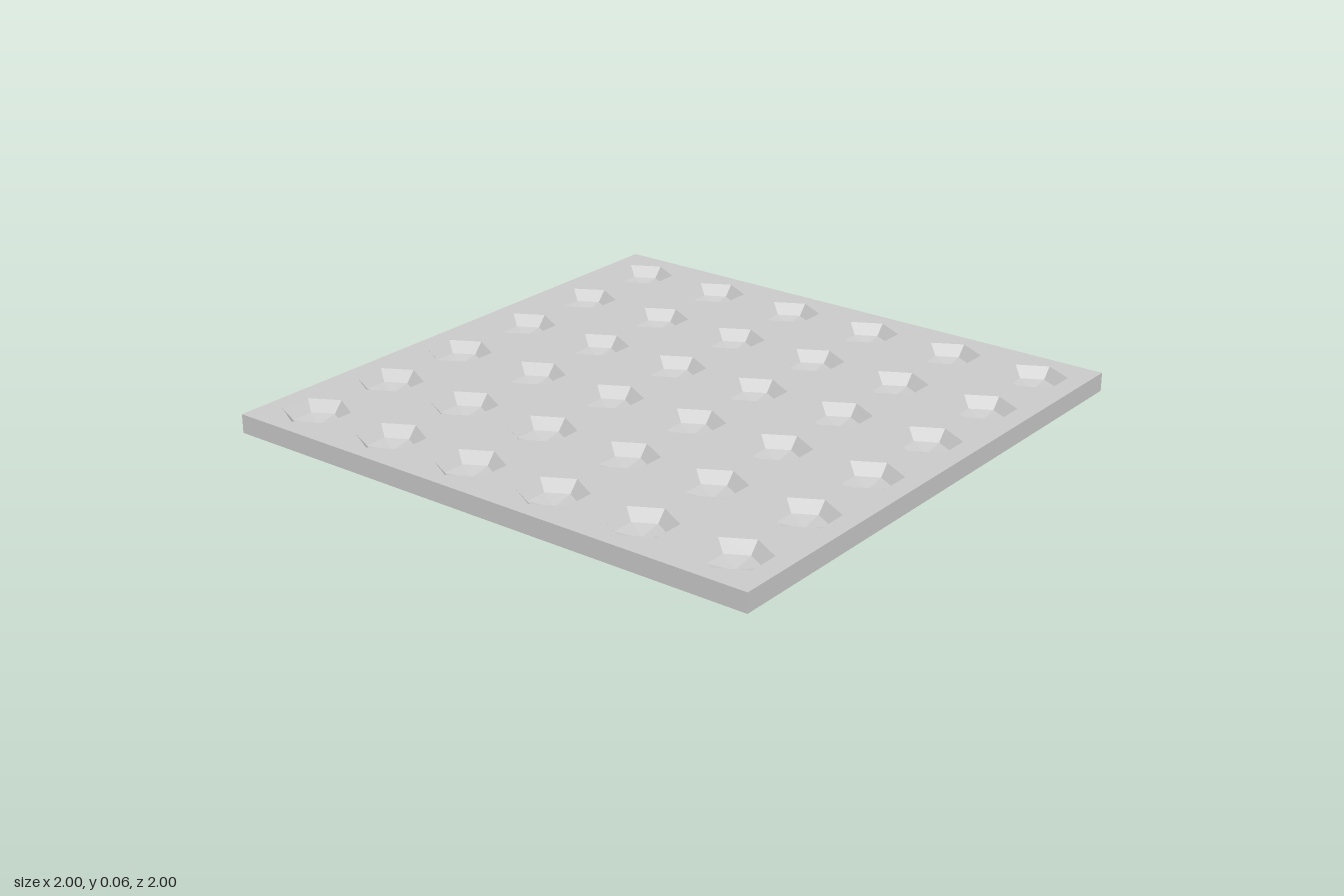
import * as THREE from 'three';

const CELLS = 6, PITCH = 2 / CELLS;
const HEIGHT = 0.065, SKIN = 0.012, RIB = 0.03;
const HOLE = 0.11, DEPTH = 0.053, STRETCH = 1.04;

// Run a function at the centre of every cell
function eachCell(fn) {
  for (let i = 0; i < CELLS; i++)
    for (let j = 0; j < CELLS; j++)
      fn(-1 + PITCH * (i + 0.5), -1 + PITCH * (j + 0.5));
}

// Square 2 x 2 sheet lying flat, with one hole per cell
function perforatedSheet(holeCorners, y, thickness) {
  const square = (h) => [[-h, -h], [h, -h], [h, h], [-h, h]];
  const shape = new THREE.Shape(square(1).map(([x, z]) => new THREE.Vector2(x, z)));
  eachCell((cx, cz) => {
    shape.holes.push(new THREE.Path(holeCorners.map(([x, z]) => new THREE.Vector2(cx + x, cz + z))));
  });
  const geometry = new THREE.ExtrudeGeometry(shape, { depth: thickness, bevelEnabled: false });
  return geometry.rotateX(-Math.PI / 2).translate(0, y, 0);
}

export function createModel() {
  const group = new THREE.Group();
  const material = new THREE.MeshStandardMaterial({ color: 0xcccccc, flatShading: true });
  const add = (name, geometry, x = 0, z = 0) => {
    const mesh = new THREE.Mesh(geometry, material);
    mesh.name = name;
    mesh.position.set(x, 0, z);
    group.add(mesh);
  };

  // Thin top skin with hexagonal openings
  const hexagon = [];
  for (let k = 0; k < 6; k++) {
    const a = (k * Math.PI) / 3;
    hexagon.push([HOLE * Math.cos(a), HOLE * STRETCH * Math.sin(a)]);
  }
  add('topPlate', perforatedSheet(hexagon, HEIGHT - SKIN, SKIN));

  // Rim and crossing ribs beneath the skin
  const p = (PITCH - RIB) / 2;
  add('ribLattice', perforatedSheet([[-p, -p], [p, -p], [p, p], [-p, p]], 0, HEIGHT - SKIN));

  // Faceted cups: outer shell upwards, then inner bowl downwards
  const c = Math.SQRT1_2;
  const profile = [
    [0, HEIGHT - DEPTH - 0.011],
    [HOLE * c + 0.009, HEIGHT - DEPTH * c - 0.011],
    [HOLE + 0.011, HEIGHT - SKIN],
    [HOLE, HEIGHT],
    [HOLE * c, HEIGHT - DEPTH * c],
    [0, HEIGHT - DEPTH],
  ].map(([r, y]) => new THREE.Vector2(r, y));
  const cup = new THREE.LatheGeometry(profile, 6, Math.PI / 2).scale(1, 1, STRETCH);
  eachCell((x, z) => add('cup', cup, x, z));

  return group;
}
